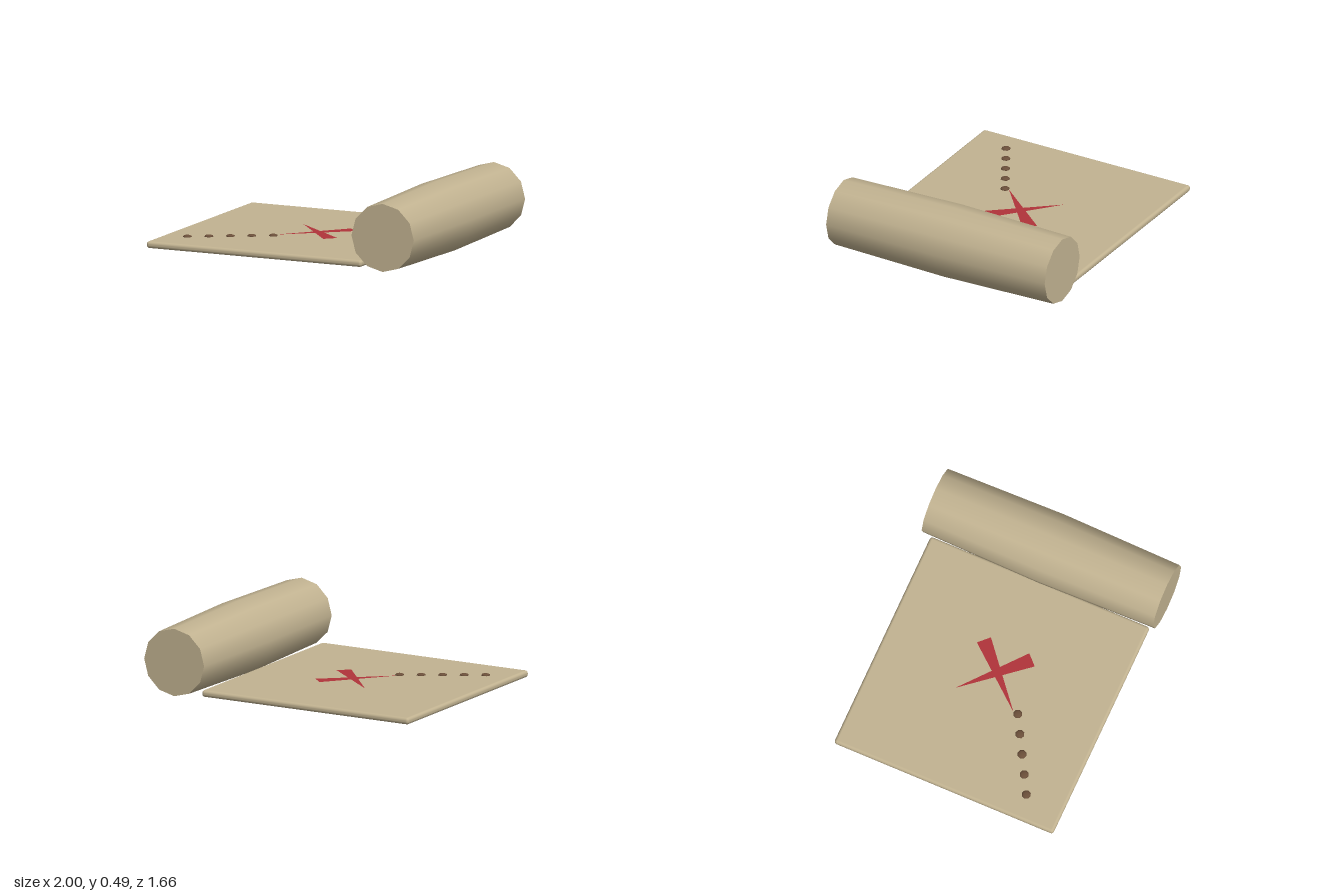
import * as THREE from 'three';
import { RoundedBoxGeometry } from 'three/addons/geometries/RoundedBoxGeometry.js';

const material = (color, extra = {}) => new THREE.MeshStandardMaterial({ color, ...extra });

export function createModel() {
  const model = new THREE.Group();
  const parchment = material(0xc2b391);
  const ink = material(0x6b4f3a);
  const red = material(0xb0333a, { side: THREE.DoubleSide });

  const add = (name, geometry, mat, x = 0, y = 0, z = 0) => {
    const mesh = new THREE.Mesh(geometry, mat);
    mesh.name = name;
    mesh.position.set(x, y, z);
    model.add(mesh);
    return mesh;
  };

  // Flat unrolled sheet with softened edges
  add('sheet', new RoundedBoxGeometry(1.575, 0.046, 1.575, 3, 0.02), parchment, -0.2125, 0.047, 0);

  // Rolled end: twelve sides, slightly swollen at the middle, flat caps
  const halfLength = 0.832;
  const endRadius = 0.228;
  const profile = [[endRadius, -halfLength], [0.245, 0], [endRadius, halfLength]]
    .map(([r, h]) => new THREE.Vector2(r, h));
  add('roll', new THREE.LatheGeometry(profile, 12), parchment, 0.755, 0.245, 0).rotation.x = Math.PI / 2;
  for (const side of [1, -1]) {
    const cap = add('rollCap', new THREE.CircleGeometry(endRadius, 12), parchment, 0.755, 0.245, side * halfLength);
    if (side < 0) cap.rotation.y = Math.PI;
  }

  // Cross made of two tapering strokes, each from a sharp tip to a broad end
  for (const side of [1, -1]) {
    const stroke = new THREE.Shape([[-0.335, -0.21], [0.084, 0.138], [0.014, 0.208]]
      .map(([x, z]) => new THREE.Vector2(x, -z * side)));
    const mesh = add('crossStroke', new THREE.ShapeGeometry(stroke), red, 0, 0.0725, 0);
    mesh.rotation.x = -Math.PI / 2;
  }

  // Dotted trail leading to the cross
  for (let i = 0; i < 5; i++) {
    const dot = add('trailDot', new THREE.SphereGeometry(0.031, 8, 6), ink, -0.827 + i * 0.123, 0.071, 0.52 - i * 0.07);
    dot.scale.y = 0.4;
  }

  return model;
}
